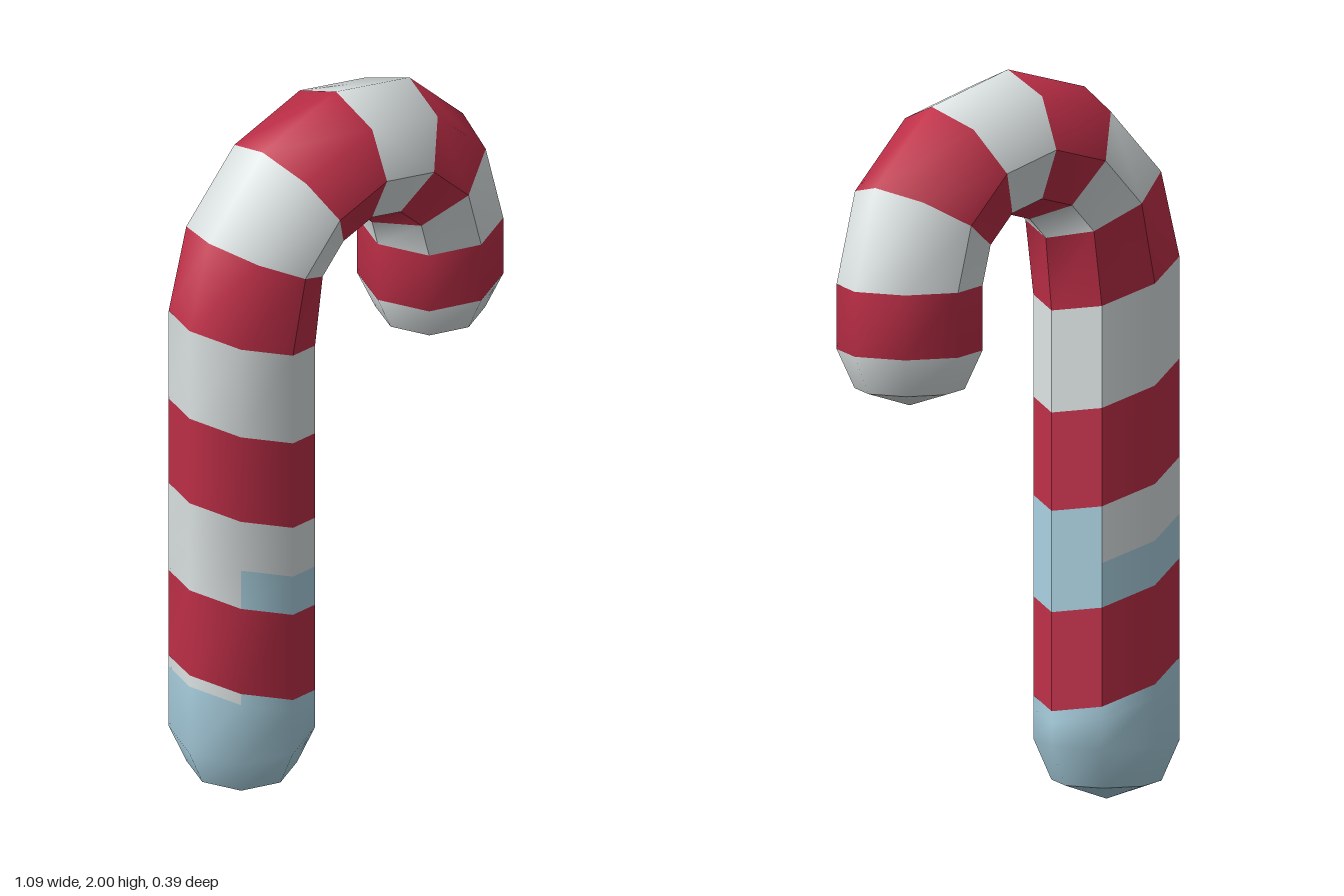
import * as THREE from 'three';

const SIDES = 8, R = 0.195, LEG = 0.35, ARC_Y = 1.455, SLANT = 0.385;

// One material per colour; indices are used by the bands below
const flat = (name, color) => {
  const m = new THREE.MeshStandardMaterial({ color });
  m.name = name;
  return m;
};
const RED = 0, WHITE = 1, BLUE = 2;

// Cross-section rings. u is the direction towards the outside of the bend.
function ring(cx, cy, ux, uy, r = R, slant = 0) {
  return Array.from({ length: SIDES }, (_, k) => {
    const a = k * Math.PI * 2 / SIDES, c = r * Math.cos(a);
    return [cx + c * ux, cy + c * uy + slant * c, r * Math.sin(a)];
  });
}
const legRing = (y, r = R, slant = 0) => ring(-LEG, y, -1, 0, r, slant);
const hookRing = (y, r = R) => ring(LEG, y, 1, 0, r);
const arcRing = (deg) => {
  const a = THREE.MathUtils.degToRad(deg), c = Math.cos(a), s = Math.sin(a);
  return ring(LEG * c, ARC_Y + LEG * s, c, s);
};

const rings = [
  legRing(0.05, 0.147), legRing(0.16),
  ...[0.295, 0.33, 0.597, 0.717, 0.87, 1.135, 1.41].map((y) => legRing(y, R, SLANT)),
  ...[150, 120, 90, 60, 30, 0].map(arcRing),
  hookRing(1.28), hookRing(1.175, 0.147),
];

// Band colour between ring i and i + 1; some bands change colour by side
const outer = (k) => k === 0 || k === 7;
const inner = (k) => k === 3 || k === 4;
const bands = [
  BLUE, BLUE, (k) => (outer(k) ? WHITE : BLUE), RED,
  (k) => (outer(k) ? WHITE : BLUE), (k) => (inner(k) ? BLUE : WHITE),
  RED, WHITE, RED, WHITE, RED, WHITE, RED, WHITE, RED, WHITE,
];
const bandColor = (i, k) => (typeof bands[i] === 'function' ? bands[i](k) : bands[i]);

// A smooth panel over rings from..to and `count` sides beginning at `start`
function panel(from, to, start, count) {
  const cols = count === SIDES ? SIDES : count + 1;
  const pos = [], faces = [[], [], []];
  for (let i = from; i <= to; i++)
    for (let c = 0; c < cols; c++) pos.push(...rings[i][(start + c + SIDES) % SIDES]);
  for (let i = from; i < to; i++)
    for (let c = 0; c < count; c++) {
      const row = (i - from) * cols, d = (c + 1) % cols;
      const p = row + c, q = row + d, s = row + cols + d, t = row + cols + c;
      faces[bandColor(i, (start + c + SIDES) % SIDES)].push(p, q, s, p, s, t);
    }
  const g = new THREE.BufferGeometry();
  g.setAttribute('position', new THREE.Float32BufferAttribute(pos, 3));
  g.setIndex(faces.flat());
  let at = 0;
  faces.forEach((f, m) => {
    if (f.length) g.addGroup(at, f.length, m);
    at += f.length;
  });
  g.computeVertexNormals();
  return g;
}

// Shallow cone closing an end
function tip(points, apex, flip) {
  const idx = [];
  for (let k = 0; k < SIDES; k++) {
    const n = (k + 1) % SIDES;
    idx.push(SIDES, ...(flip ? [n, k] : [k, n]));
  }
  const g = new THREE.BufferGeometry();
  g.setAttribute('position', new THREE.Float32BufferAttribute([...points, apex].flat(), 3));
  g.setIndex(idx);
  g.computeVertexNormals();
  return g;
}

export function createModel() {
  const group = new THREE.Group();
  group.name = 'candyCane';
  const mats = [
    flat('red stripe', 0xc02f48), flat('white stripe', 0xdde3e3), flat('pale blue', 0xabd2e2),
  ];
  const add = (name, geometry, material) => {
    const m = new THREE.Mesh(geometry, material);
    m.name = name;
    group.add(m);
  };

  // Sections along the cane; the inner side of the bend keeps hard edges
  const sections = [
    ['foot', 0, 3, [[0, 8]]],
    ['stem', 3, 8, [[-3, 6], [3, 1], [4, 1]]],
    ['bend', 8, 14, [[-2, 4], [2, 1], [3, 1], [4, 1], [5, 1]]],
    ['hookEnd', 14, 16, [[0, 8]]],
  ];
  for (const [name, from, to, panels] of sections)
    for (const [start, count] of panels) add(name, panel(from, to, start, count), mats);

  // End tips
  add('footTip', tip(rings[0], [-LEG, 0, 0], true), mats[BLUE]);
  add('hookTip', tip(rings[rings.length - 1], [LEG, 1.13, 0], false), mats[WHITE]);
  return group;
}
